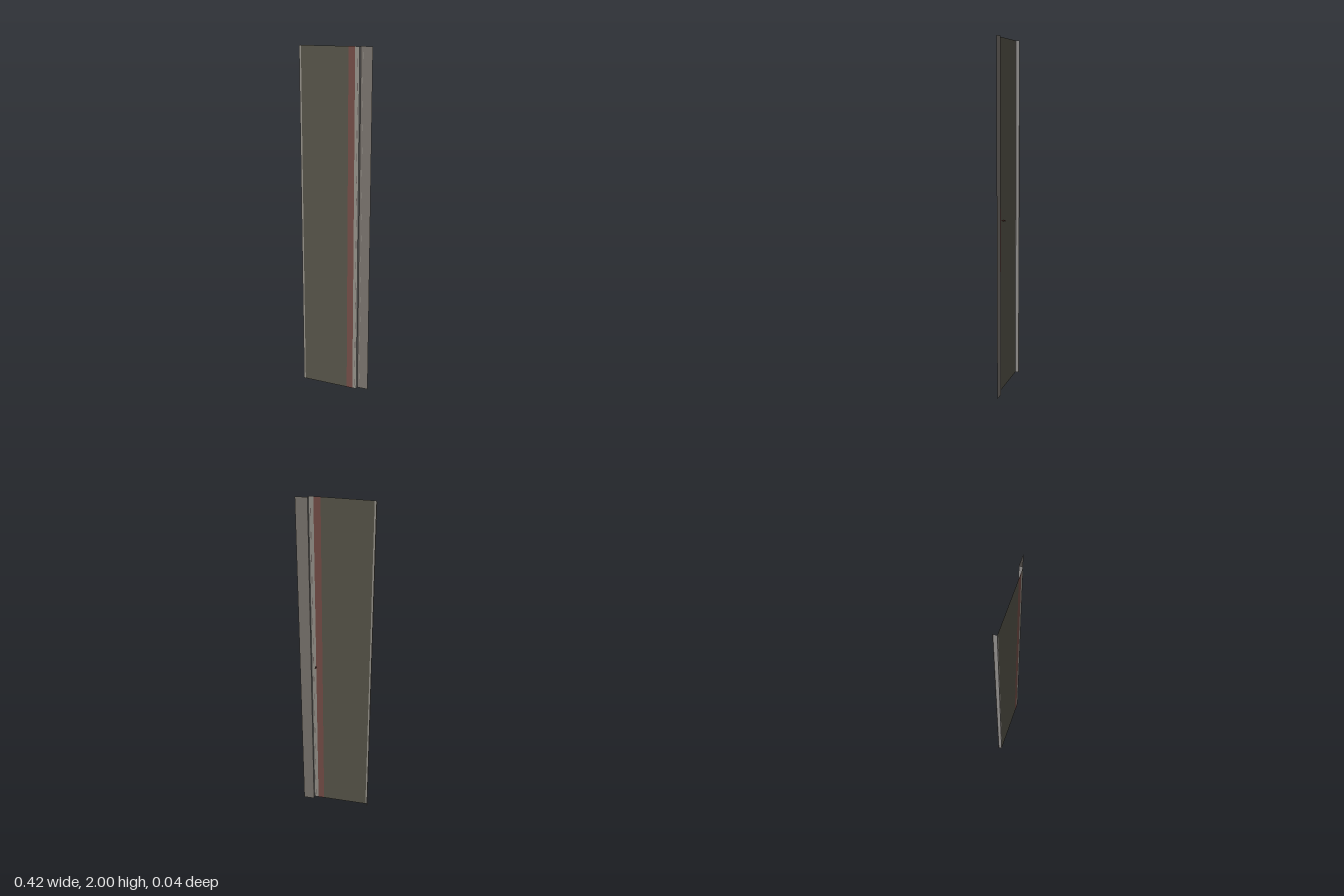
import * as THREE from 'three';

const material = (name, color, side = THREE.FrontSide) => {
  const m = new THREE.MeshStandardMaterial({ color, side });
  m.name = name;
  return m;
};

export function createModel() {
  const root = new THREE.Group();
  root.name = 'streetSection';

  const asphalt = material('asphalt', 0x5f5c50, THREE.DoubleSide);
  const red = material('redLane', 0x7e544d, THREE.DoubleSide);
  const paleGrey = material('paleConcrete', 0xa09c94, THREE.DoubleSide);
  const paving = material('paving', 0x847e77, THREE.DoubleSide);
  const kerb = material('kerbStone', 0x9e9b98, THREE.DoubleSide);
  const dark = material('darkMarking', 0x756a66, THREE.DoubleSide);
  const clothes = material('clothes', 0x5a3a32);
  const skin = material('skin', 0x7a5548);

  const LOW = 0.02; // level of the carriageway
  const HIGH = 0; // level of the pavements

  // Flat lengthwise band between two x positions
  const band = (name, x0, x1, z, mat, y = 1, length = 2) => {
    const mesh = new THREE.Mesh(new THREE.PlaneGeometry(x1 - x0, length), mat);
    mesh.name = name;
    mesh.position.set((x0 + x1) / 2, y, z);
    root.add(mesh);
  };

  // Upright kerb face joining the two levels
  const step = (name, x) => {
    const mesh = new THREE.Mesh(new THREE.PlaneGeometry(LOW - HIGH, 2), kerb);
    mesh.name = name;
    mesh.rotation.y = Math.PI / 2;
    mesh.position.set(x, 1, (LOW + HIGH) / 2);
    root.add(mesh);
  };

  // Carriageway, lanes and pavements
  band('narrowPavement', -0.208, -0.203, HIGH, paving);
  step('narrowKerb', -0.203);
  band('gutter', -0.203, -0.192, LOW, paleGrey);
  band('carriageway', -0.192, 0.08, LOW, asphalt);
  band('redLane', 0.08, 0.117, LOW, red);
  band('parkingStrip', 0.117, 0.142, LOW, paleGrey);
  step('wideKerb', 0.142);
  band('widePavement', 0.142, 0.207, HIGH, paving);

  // Repeated thin dashes along the strip and pavement
  for (let i = 0; i < 16; i++) {
    const y = 0.0625 + i * 0.125;
    band('stripDash', 0.13, 0.134, LOW - 0.0006, dark, y - 0.02, 0.042);
    band('stripDashFront', 0.13, 0.134, LOW + 0.0006, dark, y - 0.02, 0.042);
    band('pavementDash', 0.153, 0.156, HIGH + 0.0006, paleGrey, y + 0.015, 0.035);
  }

  // Tiny figure standing out from the back
  const figure = new THREE.Group();
  figure.name = 'figure';
  figure.position.set(0.113, 1.011, 0);
  const ball = (name, r, x, y, z, sx, sy, sz, mat) => {
    const mesh = new THREE.Mesh(new THREE.SphereGeometry(r, 12, 8), mat);
    mesh.name = name;
    mesh.position.set(x, y, z);
    mesh.scale.set(sx, sy, sz);
    figure.add(mesh);
  };
  ball('torso', 0.0045, 0, 0, -0.008, 1, 1.1, 1.7, clothes);
  ball('head', 0.004, 0.001, 0, 0, 1, 1, 1, skin);
  for (const s of [-1, 1]) {
    ball('limb', 0.0018, s * 0.0028, s * 0.002, -0.0165, 1, 1, 1.9, clothes);
  }
  root.add(figure);

  return root;
}
